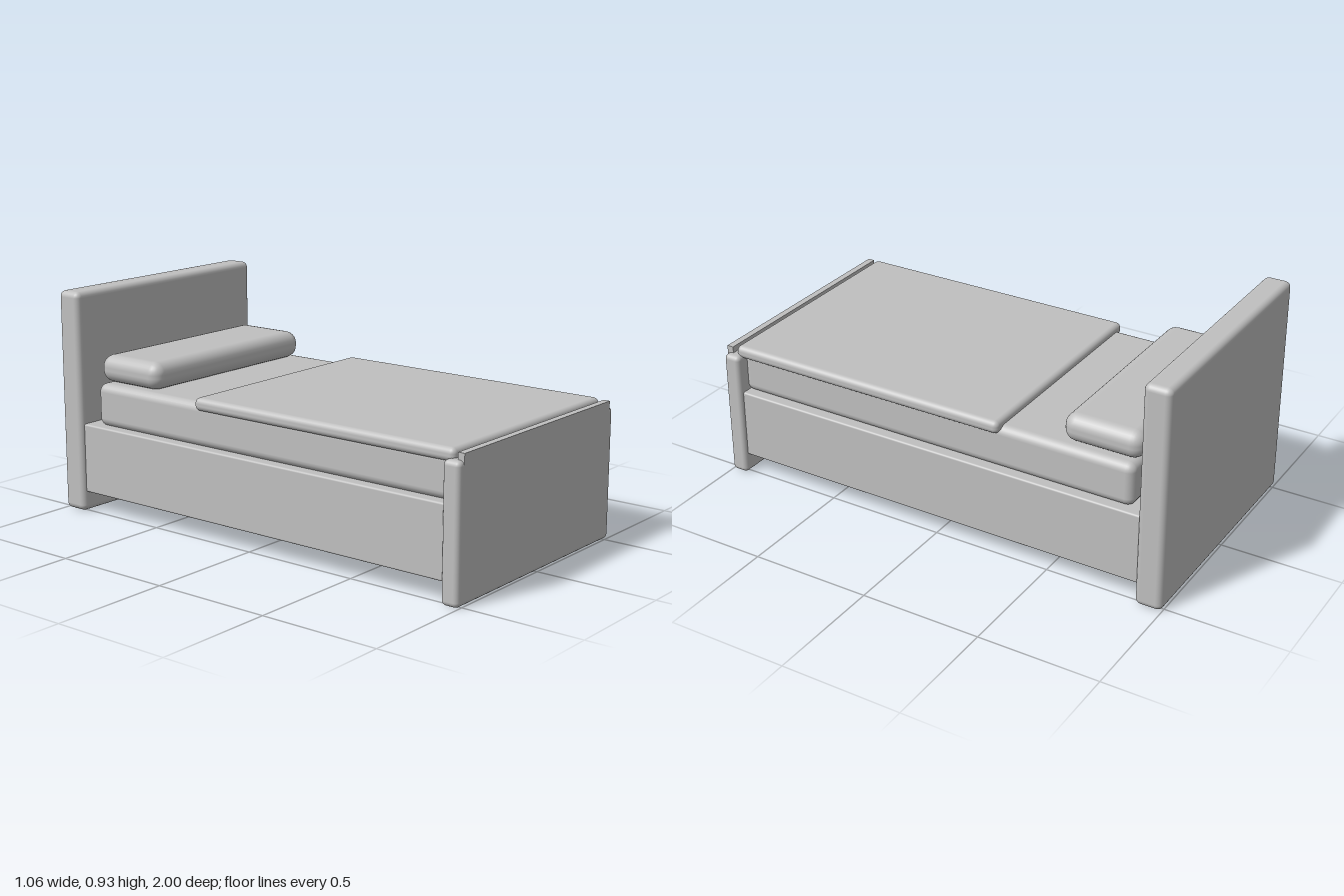
import * as THREE from 'three';
import { RoundedBoxGeometry } from 'three/addons/geometries/RoundedBoxGeometry.js';

export function createModel() {
  const bed = new THREE.Group();
  bed.name = 'bed';
  const grey = new THREE.MeshStandardMaterial({ color: 0xc0c0c0 });
  grey.name = 'plain grey';

  // Box centred on x, given by its half width and its y and z ranges
  function addPart(name, halfWidth, [y0, y1], [z0, z1], radius, segments = 3) {
    const size = [halfWidth * 2, y1 - y0, z1 - z0];
    const geometry = radius
      ? new RoundedBoxGeometry(...size, segments, radius)
      : new THREE.BoxGeometry(...size);
    const mesh = new THREE.Mesh(geometry, grey);
    mesh.name = name;
    mesh.position.set(0, (y0 + y1) / 2, (z0 + z1) / 2);
    bed.add(mesh);
  }

  // Wooden structure
  addPart('headboard', 0.53, [0, 0.927], [-1, -0.888], 0.025);
  addPart('footboard', 0.53, [0, 0.54], [0.925, 1], 0.02);
  addPart('bedFrame', 0.512, [0.083, 0.375], [-0.9, 0.94], 0.008);

  // Bedding
  addPart('mattress', 0.48, [0.37, 0.55], [-0.842, 0.94], 0.035);
  addPart('blanket', 0.502, [0.523, 0.576], [-0.28, 0.957], 0.022);
  addPart('pillow', 0.453, [0.55, 0.664], [-0.855, -0.525], 0.05);

  // Thin rail set into the top of the footboard
  addPart('footboardRail', 0.5, [0.505, 0.567], [0.972, 1.0005], 0);

  return bed;
}
